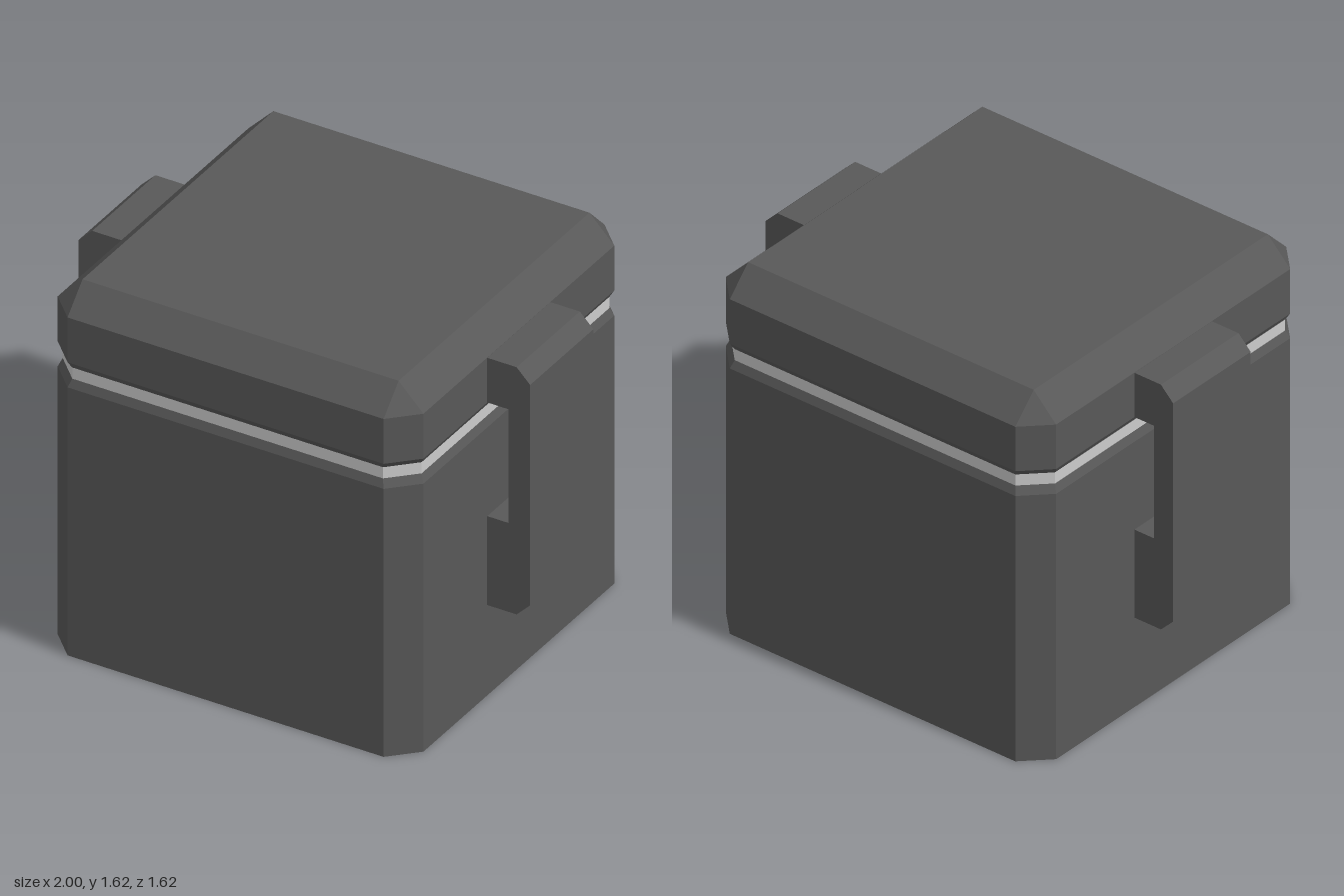
import * as THREE from 'three';

const dark = new THREE.MeshStandardMaterial({ color: 0x585858, flatShading: true });
const light = new THREE.MeshStandardMaterial({ color: 0xcccccc, flatShading: true });

// Square ring with cut corners: h = half width, c = half length of the straight sides
function ring(y, h, c) {
  return [[h, c], [h, -c], [c, -h], [-c, -h], [-h, -c], [-h, c], [-c, h], [c, h]]
    .map(([x, z]) => new THREE.Vector3(x, y, z));
}

// Joins rings from bottom to top, with optional end caps
function loft(levels, capBottom, capTop) {
  const rings = levels.map((level) => ring(...level));
  const points = [];
  const tri = (a, b, c) => {
    if (a.distanceTo(b) > 1e-6 && b.distanceTo(c) > 1e-6 && c.distanceTo(a) > 1e-6) points.push(a, b, c);
  };
  for (let r = 0; r < rings.length - 1; r++) {
    const lower = rings[r], upper = rings[r + 1];
    for (let i = 0; i < 8; i++) {
      const j = (i + 1) % 8;
      tri(lower[i], lower[j], upper[j]);
      tri(lower[i], upper[j], upper[i]);
    }
  }
  const first = rings[0], last = rings[rings.length - 1];
  for (let i = 1; i < 7; i++) {
    if (capBottom) tri(first[0], first[i + 1], first[i]);
    if (capTop) tri(last[0], last[i], last[i + 1]);
  }
  const geometry = new THREE.BufferGeometry().setFromPoints(points);
  geometry.computeVertexNormals();
  return geometry;
}

export function createModel() {
  const model = new THREE.Group();
  const add = (name, geometry, material) => {
    const mesh = new THREE.Mesh(geometry, material);
    mesh.name = name;
    model.add(mesh);
    return mesh;
  };

  // Box body with a bevelled upper rim
  add('body', loft([[0, 0.81, 0.7], [1.2, 0.81, 0.7], [1.235, 0.795, 0.688]], true, false), dark);

  // Pale seal recessed between body and lid
  add('seal', loft([[1.235, 0.795, 0.688], [1.285, 0.795, 0.688]], false, false), light);

  // Lid with chamfered top edges
  add('lid', loft([[1.285, 0.795, 0.688], [1.312, 0.81, 0.7], [1.513, 0.81, 0.7], [1.625, 0.7, 0.7]], false, true), dark);

  // C-shaped latches bridging lid and body on both sides
  const profile = new THREE.Shape([
    [0.81, 0.405], [0.94, 0.405], [1, 0.465], [1, 1.452], [0.94, 1.512],
    [0.81, 1.512], [0.81, 1.312], [0.905, 1.312], [0.905, 0.803], [0.81, 0.803],
  ].map(([x, y]) => new THREE.Vector2(x, y)));
  const latch = new THREE.ExtrudeGeometry(profile, { depth: 0.464, bevelEnabled: false });
  latch.translate(0, 0, -0.232);
  add('leftLatch', latch, dark);
  add('rightLatch', latch, dark).rotation.y = Math.PI;

  return model;
}
